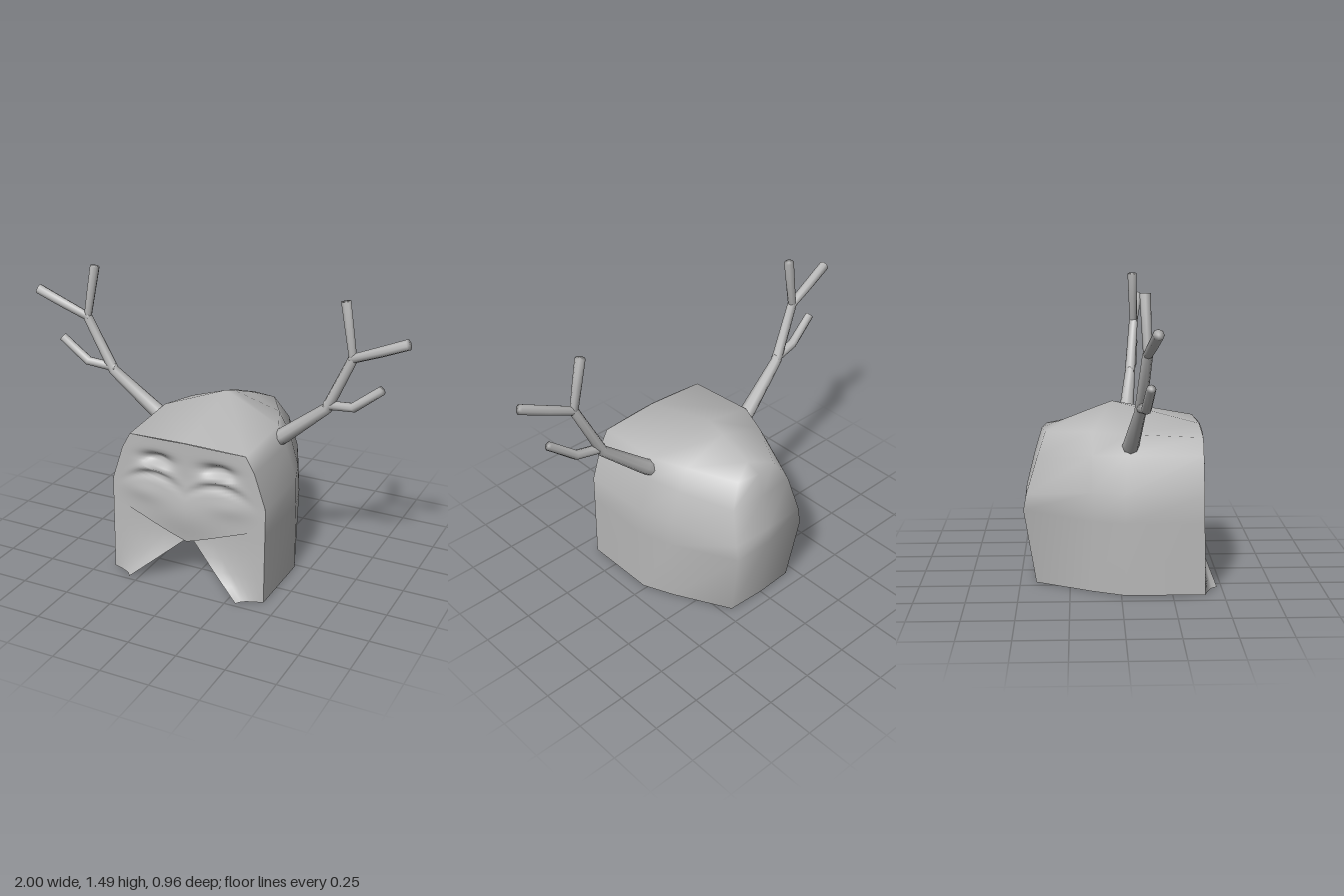
import * as THREE from 'three';
import { mergeVertices } from 'three/addons/utils/BufferGeometryUtils.js';

const grey = new THREE.MeshStandardMaterial({ color: 0xb8b8b8, side: THREE.DoubleSide });
grey.name = 'warm grey';

// Smooth skin over rows of points, each row holding the same number of points
function skin(name, rows) {
  const n = rows[0].length, index = [];
  for (let r = 0; r < rows.length - 1; r++) {
    for (let c = 0; c < n - 1; c++) {
      const a = r * n + c, b = a + n;
      index.push(a, b, a + 1, a + 1, b, b + 1);
    }
  }
  let geo = new THREE.BufferGeometry();
  geo.setAttribute('position', new THREE.Float32BufferAttribute(rows.flat(2), 3));
  geo.setIndex(index);
  geo = mergeVertices(geo);
  geo.computeVertexNormals();
  const mesh = new THREE.Mesh(geo, grey);
  mesh.name = name;
  return mesh;
}

// Piecewise linear lookup in [key, value] pairs
function lookup(pairs, k) {
  for (let i = 1; i < pairs.length; i++) {
    const [k0, v0] = pairs[i - 1], [k1, v1] = pairs[i];
    if (k <= k1) return v0 + (v1 - v0) * (k - k0) / (k1 - k0);
  }
  return pairs[pairs.length - 1][1];
}
const lerp = THREE.MathUtils.lerp;
const bump = (x, y, cx, cy, sx, sy) => Math.exp(-(((x - cx) / sx) ** 2) - ((y - cy) / sy) ** 2);

// Front corner where the shell meets the face
const cornerX = (y) => lookup([[0, 0.42], [0.5, 0.42], [0.68, 0.36], [0.76, 0.315]], y);
const cornerZ = (y) => lookup([[0, 0.41], [0.5, 0.4], [0.76, 0.4]], y);
const corner = (y) => [cornerX(y), y, cornerZ(y)];

// Hollow shell: half rings from the back centre to the front corner, mirrored
function shell() {
  const half = [
    [[0, 0, -0.43], [0.2, 0, -0.42], [0.35, 0, -0.14], [0.42, 0, 0.02], corner(0)],
    [[0, 0.38, -0.48], [0.22, 0.38, -0.48], [0.37, 0.36, -0.14], [0.42, 0.36, 0.02], corner(0.36)],
    [[0, 0.46, -0.47], [0.22, 0.46, -0.465], [0.36, 0.5, -0.14], [0.415, 0.5, 0.02], corner(0.5)],
    [[0, 0.64, -0.425], [0.19, 0.64, -0.41], [0.31, 0.67, -0.14], [0.36, 0.68, 0.03], corner(0.68)],
    [[0, 0.755, -0.39], [0.12, 0.755, -0.37], [0.25, 0.78, -0.14], [0.32, 0.78, 0.03], corner(0.76)],
    [[0, 0.755, -0.39], [0, 0.785, -0.31], [0, 0.855, -0.13], [0, 0.89, -0.035], [0, 0.77, 0.41]],
  ];
  return skin('helmetShell', half.map((row) => [
    ...row.slice(1).reverse().map(([x, y, z]) => [-x, y, z]), ...row,
  ]));
}

// Sculpted face plate with narrow eyes and a pointed lower brim
function facePlate() {
  const rows = [], N = 28, M = 28;
  for (let r = 0; r <= M; r++) {
    const row = [];
    for (let c = 0; c <= 2 * N; c++) {
      const u = 1 - c / N, a = Math.abs(u);
      const y = lerp(0.24 + 0.15 * a, 0.77 - 0.01 * a, r / M);
      const x = a * cornerX(y);
      let relief = 0.03 * bump(x, y, 0, 0.4, 0.2, 0.14);            // muzzle
      relief += 0.012 * bump(x, y, 0, 0.77, 0.3, 0.3);              // forehead
      relief -= 0.05 * bump(x, y, 0.17, 0.65, 0.08, 0.028);         // brow hollow
      relief += 0.02 * bump(x, y, 0.18, 0.605 - 2 * (x - 0.18) ** 2, 0.1, 0.022); // eyelid
      relief -= 0.02 * bump(x, y, 0.18, 0.57 - 2 * (x - 0.18) ** 2, 0.12, 0.02);  // lid crease
      relief += 0.012 * bump(x, y, 0.25, 0.47, 0.12, 0.05);         // cheekbone
      row.push([Math.sign(u) * x, y, cornerZ(y) + relief * (1 - a ** 4)]);
    }
    rows.push(row);
  }
  return skin('facePlate', rows);
}

// Cheek guard flaring forward at its lower inner corner
function cheekGuard(side) {
  const rows = [], levels = [0, 0.06, 0.12, 0.18, 0.25, 0.32, 0.39];
  for (const y of levels) {
    const inner = Math.max(0, 0.3 * (1 - y / 0.25));
    const innerZ = lookup([[0, 0.478], [0.12, 0.43], [0.25, 0.37], [0.39, 0.37]], y);
    const row = [];
    for (let i = 0; i <= 6; i++) {
      const s = 1 - i / 6;
      row.push([lerp(inner, 0.42, s), y, lerp(innerZ, cornerZ(y), Math.sqrt(s))]);
    }
    rows.push(row);
  }
  const mesh = skin(side > 0 ? 'leftCheekGuard' : 'rightCheekGuard', rows);
  mesh.scale.x = side;
  return mesh;
}

// Tapered limb through [x, y, z, radius] stations with closed ends
function limb(name, stations) {
  const pts = stations.map(([x, y, z]) => new THREE.Vector3(x, y, z));
  const last = pts.length - 1, sides = 8, rows = [];
  pts.forEach((p, i) => {
    const t = pts[Math.min(i + 1, last)].clone().sub(pts[Math.max(i - 1, 0)]).normalize();
    const a = new THREE.Vector3(0, 0, 1).cross(t).normalize();
    const b = t.clone().cross(a);
    const ring = (radius) => Array.from({ length: sides + 1 }, (_, k) => {
      const w = -2 * Math.PI * (k % sides) / sides;
      return p.clone().addScaledVector(a, radius * Math.cos(w))
        .addScaledVector(b, radius * Math.sin(w)).toArray();
    });
    if (i === 0) rows.push(ring(0));
    rows.push(ring(stations[i][3]));
    if (i === last) rows.push(ring(0));
  });
  return skin(name, rows);
}

// Branching antler
function antler(side) {
  const g = new THREE.Group();
  g.name = side > 0 ? 'leftAntler' : 'rightAntler';
  g.add(
    limb('antlerBeam', [[0.27, 0.68, 0.04, 0.045], [0.36, 0.745, 0.05, 0.04],
      [0.59, 0.94, 0.08, 0.028], [0.72, 1.22, 0.105, 0.024]]),
    limb('outerTine', [[0.71, 1.215, 0.105, 0.022], [0.85, 1.275, 0.12, 0.025], [0.99, 1.338, 0.135, 0.026]]),
    limb('upperTine', [[0.72, 1.21, 0.105, 0.02], [0.695, 1.35, 0.1, 0.023], [0.67, 1.485, 0.095, 0.025]]),
    limb('lowerTine', [[0.58, 0.955, 0.08, 0.024], [0.73, 0.975, 0.1, 0.024], [0.87, 1.09, 0.113, 0.022]]),
  );
  g.scale.x = side;
  return g;
}

export function createModel() {
  const model = new THREE.Group();
  model.name = 'antleredHelmet';
  model.add(shell(), facePlate());
  for (const side of [1, -1]) model.add(cheekGuard(side), antler(side));
  return model;
}
